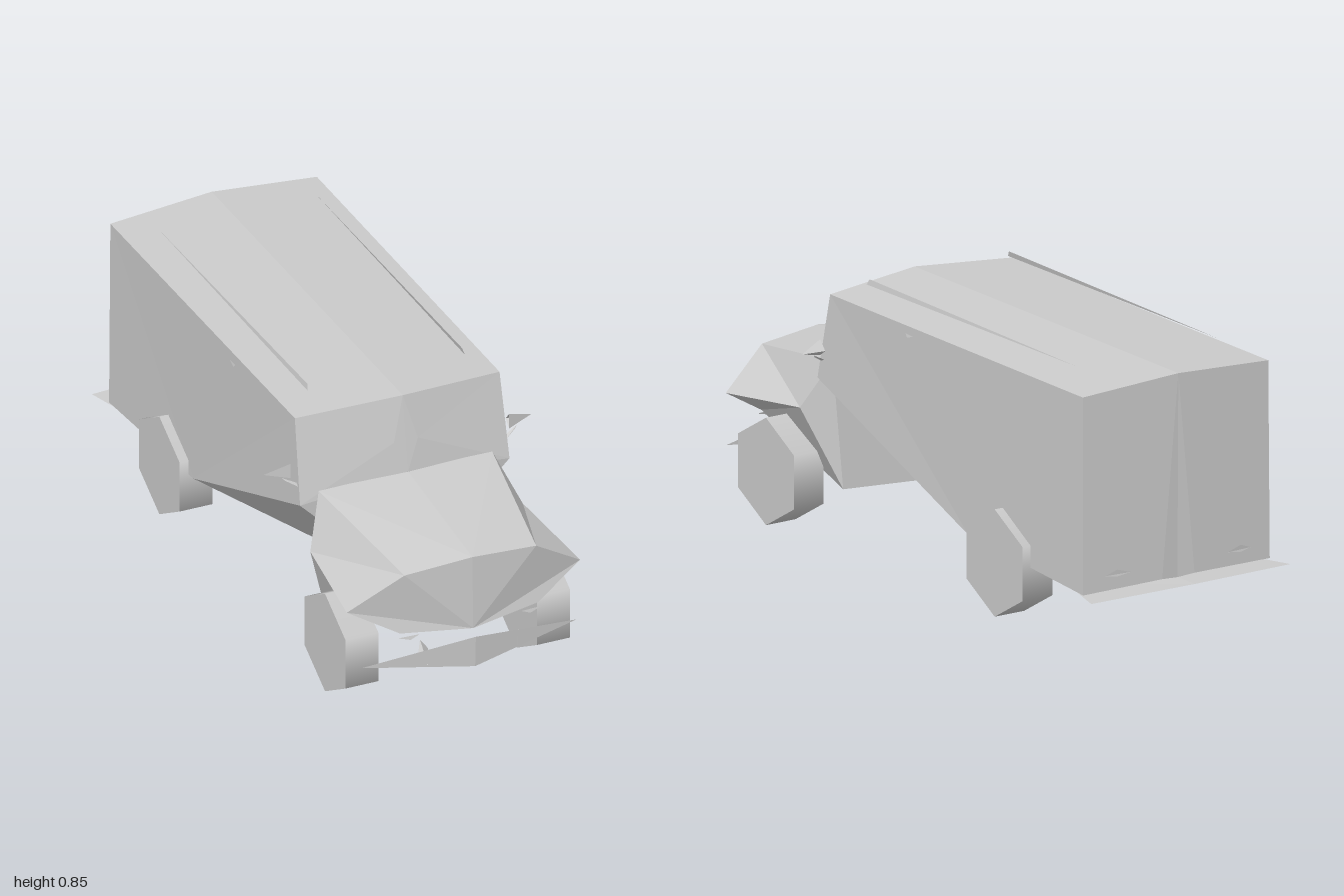
import * as THREE from 'three';

const mat = new THREE.MeshStandardMaterial({ color: 0xcccccc, flatShading: true, side: THREE.DoubleSide });
const smooth = new THREE.MeshStandardMaterial({ color: 0xcccccc });

// Flat-faceted panel mesh: the points and polygons of the +x half, mirrored to -x
function mirrored(name, points, polygons) {
  const pos = [];
  for (const poly of polygons) {
    for (let i = 1; i < poly.length - 1; i++) {
      const tri = [poly[0], poly[i], poly[i + 1]].map((k) => points[k]);
      tri.forEach((p) => pos.push(...p));
      tri.reverse().forEach(([x, y, z]) => pos.push(-x, y, z));
    }
  }
  const geo = new THREE.BufferGeometry();
  geo.setAttribute('position', new THREE.Float32BufferAttribute(pos, 3));
  geo.computeVertexNormals();
  const mesh = new THREE.Mesh(geo, mat);
  mesh.name = name;
  return mesh;
}

export function createModel() {
  const van = new THREE.Group();
  van.name = 'van';

  // Cabin: windscreen, roof, sides, back and a floor narrowing to the front
  van.add(mirrored('cabin', [
    [0, 0.57, 0.51], [0.35, 0.52, 0.485], [0.342, 0.795, 0.43], [0, 0.815, 0.47],
    [0, 0.17, 0.48], [0.345, 0.21, -0.3], [0.347, 0.165, -0.905], [0.345, 0.79, -0.9],
    [0, 0.812, -0.915], [0, 0.165, -0.91], [0.04, 0.67, 0.493], [0.06, 0.17, -0.915],
  ], [
    [10, 0, 1], [10, 1, 2], [10, 2, 3], [10, 3, 0],
    [4, 1, 0], [1, 4, 5],
    [5, 6, 7, 2, 1],
    [3, 2, 7, 8],
    [8, 7, 6, 11, 9],
    [4, 9, 11, 6, 5],
  ]));

  // Bonnet with pointed wings
  van.add(mirrored('bonnet', [
    [0, 0.51, 0.975], [0.22, 0.49, 0.96], [0.39, 0.375, 0.91], [0.23, 0.285, 0.95],
    [0, 0.265, 0.98], [0, 0.57, 0.5], [0.29, 0.56, 0.49], [0.355, 0.405, 0.57],
    [0.265, 0.155, 0.47], [0, 0.14, 0.46],
  ], [
    [4, 3, 2, 1, 0],
    [0, 1, 6, 5],
    [6, 1, 7], [1, 2, 7], [2, 3, 7], [3, 8, 7], [7, 8, 6],
    [3, 4, 9, 8],
    [6, 8, 9, 5],
  ]));

  // Bumpers
  van.add(mirrored('frontBumper', [[0, 0.245, 1], [0, 0.14, 0.995], [0.36, 0.195, 0.95]], [[0, 1, 2]]));
  van.add(mirrored('rearBumper', [
    [0, 0.165, -1], [0.37, 0.16, -0.98], [0.3, 0.155, -0.76], [0, 0.14, -0.88], [0, 0.166, -0.86],
  ], [[0, 1, 2, 3], [0, 4, 2, 1]]));
  van.add(mirrored('bumperBrackets', [
    [0.15, 0.23, 0.92], [0.15, 0.17, 0.92], [0.15, 0.17, 0.98], [0.15, 0.23, 0.98],
    [0.17, 0.2, 0.95],
  ], [[0, 1, 2, 3], [0, 4, 2]]));

  // Roof rails, mirrors and small lamps
  van.add(mirrored('roofRails', [
    [0.263, 0.832, 0.35], [0.259, 0.85, 0.34], [0.262, 0.838, -0.75],
  ], [[0, 2, 1]]));
  van.add(mirrored('wingMirrors', [
    [0.365, 0.652, 0.45], [0.365, 0.602, 0.45], [0.447, 0.622, 0.43], [0.367, 0.622, 0.42],
  ], [[0, 1, 2], [0, 2, 3], [1, 3, 2]]));
  van.add(mirrored('mirrorArms', [
    [0.34, 0.572, 0.47], [0.34, 0.58, 0.455], [0.392, 0.606, 0.445], [0.385, 0.598, 0.45],
  ], [[0, 3, 2, 1]]));
  van.add(mirrored('tailLamps', [
    [0.27, 0.215, -0.914], [0.23, 0.208, -0.918], [0.18, 0.215, -0.92], [0.23, 0.23, -0.918],
  ], [[0, 1, 2, 3]]));
  van.add(mirrored('frontLamps', [
    [0.17, 0.275, 0.962], [0.2, 0.262, 0.962], [0.24, 0.273, 0.955],
  ], [[0, 1, 2]]));
  van.add(mirrored('sideMarkers', [
    [0.352, 0.772, 0.02], [0.354, 0.762, 0.01], [0.352, 0.77, -0.02],
  ], [[0, 1, 2]]));

  // Six-sided wheels with a corner at the bottom
  const tyre = new THREE.CylinderGeometry(0.17, 0.17, 0.11, 6);
  tyre.rotateY(Math.PI / 2);
  tyre.rotateZ(Math.PI / 2);
  for (const side of [1, -1]) {
    for (const [end, z] of [['front', 0.72], ['rear', -0.48]]) {
      const wheel = new THREE.Mesh(tyre, smooth);
      wheel.name = end + (side > 0 ? 'LeftWheel' : 'RightWheel');
      wheel.position.set(side * 0.32, 0.17, z);
      van.add(wheel);
    }
  }
  return van;
}
